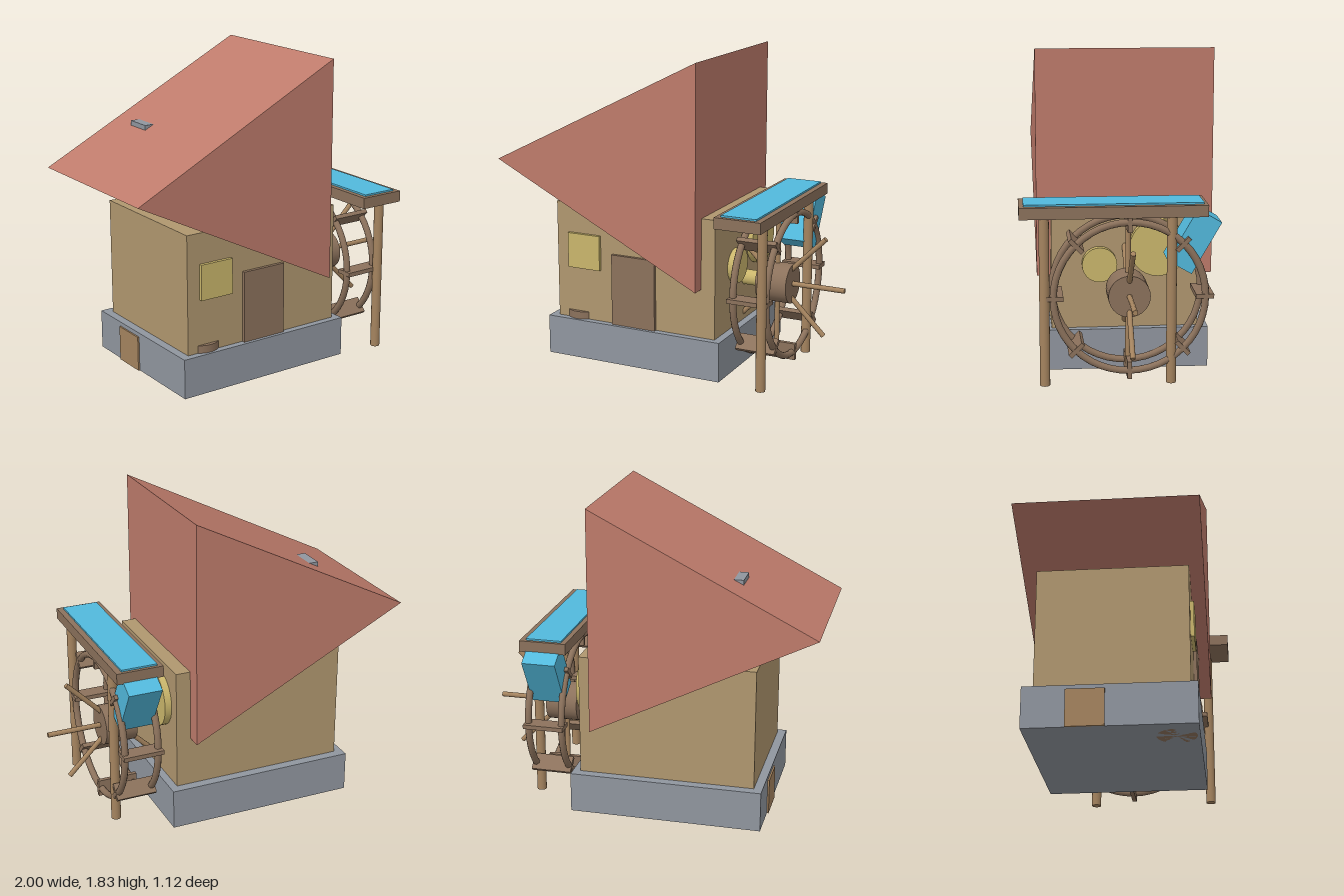
import * as THREE from 'three';

const mat = (name, color) => {
  const m = new THREE.MeshStandardMaterial({ color });
  m.name = name;
  return m;
};

export function createModel() {
  const group = new THREE.Group();
  const stone = mat('stone', 0x90969f);
  const plaster = mat('plaster', 0xb0976f);
  const tile = mat('roofTile', 0xbe7b6b);
  const darkWood = mat('darkWood', 0x8c725c);
  const wood = mat('wood', 0xa5845f);
  const brass = mat('brass', 0xcab66c);
  const water = mat('water', 0x52b9dc);

  const add = (name, geo, material, x, y, z, parent = group) => {
    const mesh = new THREE.Mesh(geo, material);
    mesh.name = name;
    mesh.position.set(x, y, z);
    parent.add(mesh);
    return mesh;
  };
  // Box given by its extents on each axis
  const box = (name, material, [x0, x1], [y0, y1], [z0, z1]) =>
    add(name, new THREE.BoxGeometry(x1 - x0, y1 - y0, z1 - z0), material,
      (x0 + x1) / 2, (y0 + y1) / 2, (z0 + z1) / 2);
  // Cylinder lying along x
  const disc = (name, material, r, x0, x1, y, z) =>
    add(name, new THREE.CylinderGeometry(r, r, x1 - x0, 28).rotateZ(Math.PI / 2),
      material, (x0 + x1) / 2, y, z);

  // House
  box('foundation', stone, [-0.7, 0.42], [0, 0.235], [-0.525, 0.41]);
  box('walls', plaster, [-0.65, 0.375], [0.235, 0.94], [-0.47, 0.37]);
  box('door', darkWood, [-0.28, 0], [0.235, 0.66], [0.36, 0.39]);
  box('window', brass, [-0.57, -0.36], [0.55, 0.76], [0.36, 0.39]);
  box('chimney', stone, [-0.55, -0.39], [1.15, 1.43], [-0.37, -0.21]);

  // Roof: a triangular prism tipped towards the left
  const gable = new THREE.Shape([[-1, 1.175], [0.29, 0.525], [0.29, 1.825]]
    .map(([x, y]) => new THREE.Vector2(x, y)));
  add('roof', new THREE.ExtrudeGeometry(gable, { depth: 1.01, bevelEnabled: false }),
    tile, 0, 0, -0.56);

  // Goods sunk into the foundation
  box('crate', wood, [-0.71, -0.5], [0, 0.21], [-0.29, -0.08]);
  add('barrel', new THREE.CylinderGeometry(0.11, 0.11, 0.28, 24), darkWood, -0.515, 0.14, 0.285);

  // Gears on the right-hand wall
  disc('largeGear', brass, 0.165, 0.37, 0.415, 0.705, -0.237);
  disc('smallGear', brass, 0.1, 0.37, 0.415, 0.61, 0.097);
  disc('axle', brass, 0.045, 0.35, 0.51, 0.495, -0.055);

  // Water wheel
  const wheel = new THREE.Group();
  wheel.name = 'waterWheel';
  wheel.position.set(0.587, 0.495, -0.048);
  group.add(wheel);
  add('hub', new THREE.CylinderGeometry(0.117, 0.117, 0.19, 28).rotateZ(Math.PI / 2), darkWood, 0, 0, 0, wheel);
  for (const side of [-1, 1]) {
    add('rim', new THREE.TorusGeometry(0.42, 0.02, 10, 48).rotateY(Math.PI / 2),
      darkWood, side * 0.1, 0, 0, wheel);
  }
  for (let i = 0; i < 8; i++) {
    const a = i * Math.PI / 4;
    // Spokes fan out in the plane of the axle
    const spoke = add('spoke', new THREE.CylinderGeometry(0.015, 0.015, 0.413, 10).translate(0, 0.2065, 0),
      wood, 0, 0, 0, wheel);
    spoke.rotation.z = a;
    // Paddles cross between the rims
    const paddle = add('paddle', new THREE.BoxGeometry(0.24, 0.1, 0.025).translate(0, 0.415, 0),
      darkWood, 0, 0, 0, wheel);
    paddle.rotation.x = a;
  }

  // Trough on two posts, with water spilling from its back end
  box('trough', darkWood, [0.45, 0.725], [0.945, 1.01], [-0.475, 0.555]);
  box('troughWater', water, [0.48, 0.69], [1.005, 1.02], [-0.455, 0.53]);
  for (const z of [0.42, -0.28]) {
    add('post', new THREE.CylinderGeometry(0.028, 0.028, 0.95, 16), wood, 0.682, 0.475, z);
  }
  const spill = add('spillingWater', new THREE.BoxGeometry(0.197, 0.33, 0.154), water, 0.588, 0.8, -0.405);
  spill.rotation.x = -Math.PI / 6;

  return group;
}
